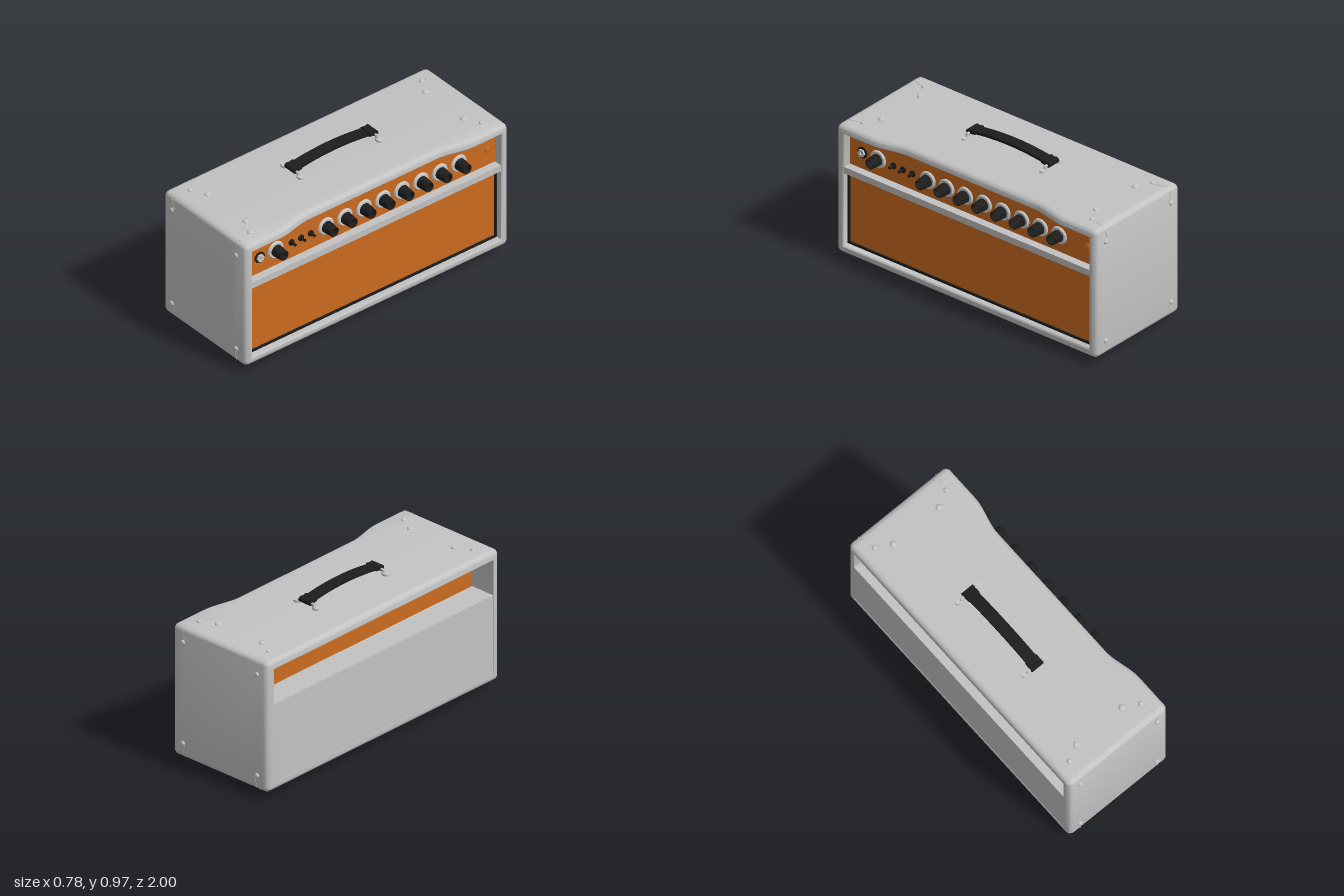
import * as THREE from 'three';
import { toCreasedNormals } from 'three/addons/utils/BufferGeometryUtils.js';

const mat = (name, color) => {
  const m = new THREE.MeshStandardMaterial({ color });
  m.name = name;
  return m;
};

// Cabinet shell: a wall profile swept round a rounded rectangle, top front edge scooped back
const HZ = 0.987, HY = 0.4275, CY = 0.4775, R = 0.035, WALL = 0.055, FRONT = 0.365, BACK = -0.39;

function perimeter(inset) {
  const r = Math.max(R - inset, 0.001), cz = HZ - inset - r, cy = HY - inset - r;
  const corners = [[1, 1], [-1, 1], [-1, -1], [1, -1]];
  const pts = [];
  corners.forEach(([sz, sy], k) => {
    for (let i = 0; i <= 6; i++) {
      const a = (k + i / 6) * Math.PI / 2;
      pts.push([sz * cz + r * Math.cos(a), sy * cy + r * Math.sin(a)]);
    }
    if (k === 0) { // subdivide the top edge for the scoop
      const [z, y] = pts[pts.length - 1];
      for (let i = 1; i < 64; i++) pts.push([z * (1 - 2 * i / 64), y]);
    }
  });
  return pts;
}

function shellGeometry() {
  const profile = [[FRONT, WALL - 0.007]];
  for (let i = 0; i <= 6; i++) {
    const a = i / 6 * Math.PI / 2;
    profile.push([FRONT - R + R * Math.cos(a), R - R * Math.sin(a)]);
  }
  profile.push([0.24, 0]);
  for (let i = 0; i <= 6; i++) {
    const a = i / 6 * Math.PI / 2;
    profile.push([BACK + R - R * Math.sin(a), R - R * Math.cos(a)]);
  }
  profile.push([BACK, WALL], [0.24, WALL], [FRONT - 0.007, WALL]);

  const pos = [], idx = [], n = perimeter(0).length, m = profile.length;
  for (const [x, inset] of profile) {
    for (const [z, y] of perimeter(inset)) {
      const scoop = 1 - THREE.MathUtils.smoothstep(Math.abs(z), 0.48, 0.73);
      const dx = x > 0.25 && y > 0.3 ? 0.043 * scoop : 0;
      pos.push(x - dx, CY + y, z);
    }
  }
  for (let i = 0; i < m; i++) {
    for (let j = 0; j < n; j++) {
      const i2 = (i + 1) % m, j2 = (j + 1) % n;
      const a = i * n + j, b = i * n + j2, c = i2 * n + j, d = i2 * n + j2;
      idx.push(a, b, c, b, d, c);
    }
  }
  const g = new THREE.BufferGeometry();
  g.setAttribute('position', new THREE.Float32BufferAttribute(pos, 3));
  g.setIndex(idx);
  return toCreasedNormals(g, 0.6);
}

export function createModel() {
  const model = new THREE.Group();
  const covering = mat('grey covering', 0xc3c3c3);
  const metal = mat('pale metal', 0xc8c8c8);
  const orange = mat('orange', 0xcc6b1f);
  const black = mat('black', 0x1d1d1d);

  const add = (name, geo, material, x = 0, y = 0, z = 0, parent = model) => {
    const mesh = new THREE.Mesh(geo, material);
    mesh.name = name;
    mesh.position.set(x, y, z);
    parent.add(mesh);
    return mesh;
  };
  // Box given by its limits on each axis
  const block = (name, material, x0, x1, y0, y1, z0, z1) =>
    add(name, new THREE.BoxGeometry(x1 - x0, y1 - y0, z1 - z0), material, (x0 + x1) / 2, (y0 + y1) / 2, (z0 + z1) / 2);
  // Turned part whose axis points to +x
  const turned = (pts, seg = 32) => toCreasedNormals(
    new THREE.LatheGeometry(pts.map(p => new THREE.Vector2(p[0], p[1])), seg).rotateZ(-Math.PI / 2), 0.6);

  // Cabinet
  add('cabinetShell', shellGeometry(), covering);
  block('backPanel', covering, -0.388, -0.36, 0.1, 0.62, -0.935, 0.935);
  block('shelf', covering, -0.37, 0.31, 0.6, 0.62, -0.935, 0.935);
  block('frontRail', covering, 0.27, 0.358, 0.588, 0.63, -0.935, 0.935);
  block('controlChassis', orange, -0.22, 0.305, 0.62, 0.852, -0.934, 0.934);
  block('speakerGrille', orange, 0.28, 0.315, 0.1, 0.595, -0.934, 0.934);

  // Piping round the grille
  for (const s of [-1, 1]) {
    const side = s * 0.925, edge = 0.3475 + s * 0.234;
    block('pipingSide', black, 0.31, 0.325, 0.107, 0.588, side - 0.007, side + 0.007);
    block('pipingEdge', black, 0.31, 0.325, edge - 0.007, edge + 0.007, -0.93, 0.93);
  }

  // Knobs: metal skirt and hollow black cap
  const skirt = turned([[0, 0], [0.057, 0], [0.057, 0.006], [0.05, 0.013], [0, 0.013]]);
  const cap = turned([[0.038, 0.012], [0.036, 0.04], [0.032, 0.083], [0.029, 0.086], [0.026, 0.083], [0.026, 0.012]], 24);
  const knobZ = [0.715];
  for (let i = 0; i < 8; i++) knobZ.push(0.338 - i * 0.1422);
  for (const z of knobZ) {
    const knob = new THREE.Group();
    knob.name = 'knob';
    knob.position.set(0.304, 0.74, z);
    add('knobSkirt', skirt, metal, 0, 0, 0, knob);
    add('knobCap', cap, black, 0, 0, 0, knob);
    model.add(knob);
  }

  // Toggle switches
  const nut = turned([[0, 0], [0.02, 0], [0.02, 0.01], [0.009, 0.012], [0.007, 0.035], [0.01, 0.042], [0, 0.044]], 16);
  for (const z of [0.597, 0.525, 0.452]) add('toggleSwitch', nut, black, 0.304, 0.74, z);

  // Input jack and pilot lamp
  add('jackWasher', turned([[0, 0], [0.036, 0], [0.036, 0.008], [0, 0.008]]), black, 0.304, 0.74, 0.835);
  add('jackNut', turned([[0.01, 0.008], [0.026, 0.008], [0.026, 0.02], [0.01, 0.02], [0.01, 0.008]], 6), metal, 0.304, 0.74, 0.835);
  add('lampBezel', new THREE.TorusGeometry(0.023, 0.004, 8, 28).rotateY(Math.PI / 2), orange, 0.306, 0.74, -0.875);
  add('lampLens', turned([[0.022, 0], [0.019, 0.007], [0.01, 0.012], [0, 0.013]], 24), orange, 0.304, 0.74, -0.875);

  // Screws and corner seams, pointing out along +y before turning
  const screw = new THREE.LatheGeometry([[0.016, -0.004], [0.016, 0.004], [0.012, 0.009], [0.006, 0.011], [0, 0.011]]
    .map(p => new THREE.Vector2(p[0], p[1])), 20);
  const bolt = screw.clone().scale(1.25, 1, 1.25);
  const seam = (a, b) => {
    const from = new THREE.Vector3(...a), to = new THREE.Vector3(...b);
    const mesh = add('cornerSeam', new THREE.BoxGeometry(0.004, 0.004, from.distanceTo(to)), covering);
    mesh.position.copy(from).lerp(to, 0.5);
    mesh.lookAt(to);
  };
  for (const sz of [-1, 1]) {
    for (const [x, outer, inner] of [[-0.3, -0.31, -0.285], [0.272, 0.285, 0.265]]) {
      for (const sy of [-1, 1]) {
        const face = CY + sy * HY;
        add('sideScrew', screw, metal, x < 0 ? -0.308 : 0.28, CY + sy * 0.331, sz * HZ).rotation.x = sz * Math.PI / 2;
        add('edgeScrew', screw, metal, x < 0 ? -0.288 : 0.26, face, sz * 0.868).rotation.x = sy > 0 ? 0 : Math.PI;
        seam([outer, CY + sy * 0.405, sz * HZ], [inner, CY + sy * 0.345, sz * HZ]);
        seam([outer, face, sz * 0.965], [inner, face, sz * 0.89]);
      }
    }
    for (const x of [-0.19, 0.16]) add('topBolt', bolt, metal, x, CY + HY, sz * 0.815);

    // Feet with a recessed underside
    for (const x of [-0.19, 0.165]) {
      const foot = new THREE.LatheGeometry([[0, 0.015], [0.03, 0.015], [0.034, 0], [0.052, 0], [0.056, 0.006], [0.056, 0.052]]
        .map(p => new THREE.Vector2(p[0], p[1])), 32);
      add('foot', toCreasedNormals(foot, 0.6), black, x, 0, sz * 0.81);
    }

    // Handle mounts
    for (const sx of [-1, 1]) {
      const x = -0.055 + sx * 0.075;
      add('handlePad', new THREE.CylinderGeometry(0.017, 0.018, 0.014, 20).scale(1.5, 1, 1), metal, x, 0.911, sz * 0.295);
      add('handlePost', new THREE.CylinderGeometry(0.01, 0.012, 0.028, 16), metal, -0.055 + sx * 0.058, 0.921, sz * 0.295);
    }
    add('handlePin', new THREE.CylinderGeometry(0.008, 0.008, 0.125, 14).rotateZ(Math.PI / 2), metal, -0.055, 0.932, sz * 0.295);
    add('handleEnd', new THREE.CylinderGeometry(0.018, 0.018, 0.084, 20).rotateZ(Math.PI / 2), black, -0.055, 0.937, sz * 0.3);
    const sleeve = add('handleSleeve', new THREE.BoxGeometry(0.084, 0.024, 0.05), black, -0.055, 0.941, sz * 0.277);
    sleeve.rotation.x = sz * 0.17;
  }

  // Arched handle strap
  const strap = new THREE.BoxGeometry(0.074, 0.017, 0.6, 1, 1, 28);
  const p = strap.attributes.position;
  for (let i = 0; i < p.count; i++) p.setY(i, p.getY(i) + 0.026 * (1 - (p.getZ(i) / 0.3) ** 2));
  add('handleStrap', toCreasedNormals(strap, 0.5), black, -0.055, 0.936, 0);

  return model;
}
